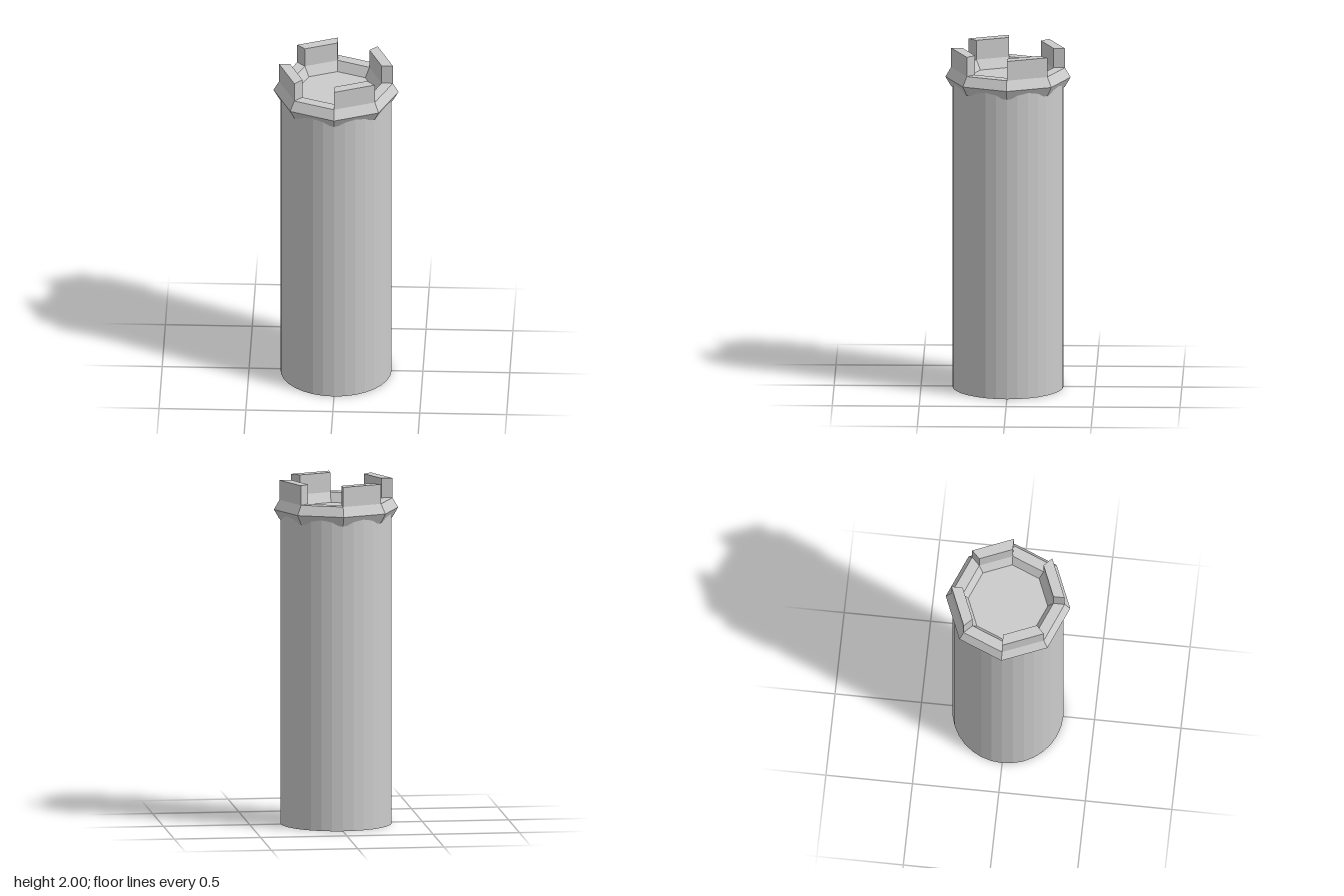
import * as THREE from 'three';

export function createModel() {
  const tower = new THREE.Group();
  tower.name = 'tower';
  const stone = new THREE.MeshStandardMaterial({ color: 0xcccccc, flatShading: true });

  const add = (name, geometry) => {
    const mesh = new THREE.Mesh(geometry, stone);
    mesh.name = name;
    tower.add(mesh);
    return mesh;
  };

  const ringY = 1.83, ringRadius = 0.295, ringTube = 0.065;
  const ringTop = ringY + ringTube * Math.sin(Math.PI / 3);
  const outer = ringRadius + ringTube / 2;
  const inner = ringRadius - ringTube / 2;

  // Round shaft, whose top is the floor inside the parapet
  add('shaft', new THREE.CylinderGeometry(0.32, 0.32, ringY, 32).translate(0, ringY / 2, 0));

  // Octagonal parapet ring with a hexagonal section
  add('parapetRing', new THREE.TorusGeometry(ringRadius, ringTube, 6, 8)
    .rotateX(-Math.PI / 2).translate(0, ringY, 0));

  // Four merlons standing on every other side of the ring
  const corner = (r, a) => new THREE.Vector2(r * Math.cos(a), r * Math.sin(a));
  const a0 = -Math.PI / 2, a1 = -Math.PI / 4;
  const plan = new THREE.Shape([corner(outer, a0), corner(outer, a1), corner(inner, a1), corner(inner, a0)]);
  const merlon = new THREE.ExtrudeGeometry(plan, { depth: 2 - ringTop, bevelEnabled: false })
    .rotateX(-Math.PI / 2).translate(0, ringTop, 0);
  for (let i = 0; i < 4; i++) {
    add(`merlon${i + 1}`, merlon).rotation.y = i * Math.PI / 2;
  }

  return tower;
}
